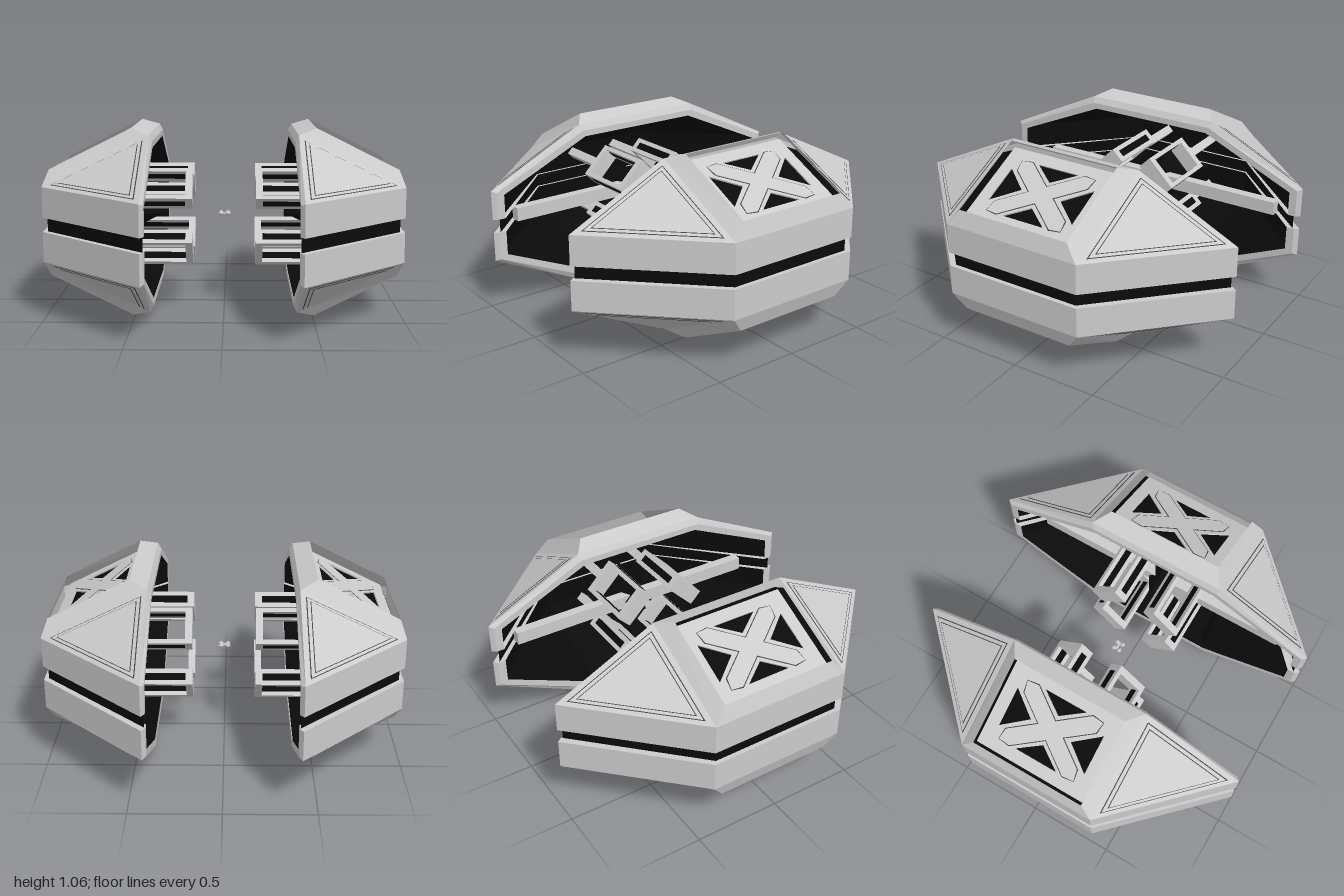
import * as THREE from 'three';

const GREY = new THREE.MeshStandardMaterial({ color: 0xcccccc, flatShading: true, side: THREE.DoubleSide });
const BLACK = new THREE.MeshStandardMaterial({ color: 0x0a0a0a, flatShading: true, side: THREE.DoubleSide });
const LINE = new THREE.MeshStandardMaterial({ color: 0x444444, flatShading: true, side: THREE.DoubleSide });
const MID = 0.535;

const flip = (p) => [p[0], p[1], -p[2]];

// Flat-faced surface from convex polygons
function faces(name, polys, material) {
  const pos = [];
  for (const p of polys)
    for (let i = 1; i < p.length - 1; i++) pos.push(...p[0], ...p[i], ...p[i + 1]);
  const g = new THREE.BufferGeometry();
  g.setAttribute('position', new THREE.Float32BufferAttribute(pos, 3));
  g.computeVertexNormals();
  const m = new THREE.Mesh(g, material);
  m.name = name;
  return m;
}

function box(name, size, at, material = GREY) {
  const m = new THREE.Mesh(new THREE.BoxGeometry(...size), material);
  m.position.set(...at);
  m.name = name;
  return m;
}

function poly(points) {
  return points.map((p) => new THREE.Vector2(...p));
}

function plate(name, outline, holes, depth, material = GREY) {
  const s = new THREE.Shape(poly(outline));
  for (const h of holes) s.holes.push(new THREE.Path(poly(h)));
  const m = new THREE.Mesh(new THREE.ExtrudeGeometry(s, { depth, bevelEnabled: false }), material);
  m.name = name;
  return m;
}

const rect = (w, h) => [[-w, -h], [w, -h], [w, h], [-w, h]];

// Upper half of one side pod: y is measured from the middle plane
function podHalf() {
  const g = new THREE.Group();
  g.name = 'podHalf';
  const A = [0.41, 0.495, 0.41], D = [0.51, 0.53, 0.34], E = [0.97, 0.3, 0.34];
  const B = [1, 0.21, 0.41], C = [0.41, 0.21, 1], Bb = [1, 0.04, 0.41], Cb = [0.41, 0.04, 1];
  const Ai = [0.39, 0.46, 0.4], Ci = [0.39, 0.2, 0.975], Cbi = [0.39, 0.04, 0.975];

  // Armour, inner lip and groove edge; side faces are repeated for -z
  const sides = [
    [A, B, C], [A, D, E, B], [C, B, Bb, Cb], [C, Cb, Cbi, Ci], [A, C, Ci, Ai],
    [Ai, Ci, [0.39, 0.18, 0.93], [0.39, 0.425, 0.38]],
    [Ci, Cbi, [0.39, 0.04, 0.93], [0.39, 0.18, 0.93]],
    [Bb, [0.96, 0.04, 0.39], [0.39, 0.04, 0.93], Cbi, Cb],
  ];
  const across = [[D, A], [E, B], [B, Bb], [A, Ai], [Ai, [0.39, 0.425, 0.38]], [Bb, [0.96, 0.04, 0.39]]]
    .map(([p, q]) => [p, q, flip(q), flip(p)]);
  g.add(faces('armour', [...sides, ...sides.map((f) => f.map(flip).reverse()), ...across], GREY));

  // Dark lining that also fills the middle groove
  const a = [0.395, 0.43, 0.39], d = [0.47, 0.455, 0.34], e = [0.93, 0.23, 0.34];
  const b = [0.975, 0.19, 0.39], c = [0.395, 0.19, 0.965], b0 = [0.975, 0, 0.39], c0 = [0.395, 0, 0.965];
  const lining = [[a, b, c], [a, d, e, b], [c, b, b0, c0]];
  const liningAcross = [[a, d], [d, e], [e, b], [b, b0]].map(([p, q]) => [p, q, flip(q), flip(p)]);
  g.add(faces('lining', [...lining, ...lining.map((f) => f.map(flip).reverse()), ...liningAcross], BLACK));

  // Outlined triangular plates on the corner faces
  const centre = [0, 1, 2].map((i) => (A[i] + B[i] + C[i]) / 3);
  const n = new THREE.Vector3(0.285, 0.59, 0.285).normalize().toArray();
  const inset = (k, lift) => [A, B, C].map((p) => p.map((v, i) => centre[i] + (v - centre[i]) * k + n[i] * lift));
  for (const [k, lift, mat] of [[0.86, 0.002, LINE], [0.835, 0.004, GREY], [0.75, 0.006, LINE], [0.73, 0.008, GREY]]) {
    const t = inset(k, lift);
    g.add(faces('cornerPlate', [t, t.map(flip).reverse()], mat));
  }

  // Recessed panel with four triangular openings and a raised cross
  const panel = new THREE.Group();
  panel.name = 'crossPanel';
  const holes = [];
  for (const s of [-1, 1]) {
    holes.push([[-0.118 , s * 0.27], [0.118, s * 0.27], [0, s * 0.125]]);
    holes.push([[s * 0.185, -0.13], [s * 0.185, 0.13], [s * 0.09, 0]]);
  }
  panel.add(plate('panel', rect(0.257, 0.34), holes, 0.008));
  for (const s of [-1, 1]) {
    for (const [len, w, z, mat] of [[0.3, 0.051, 0.009, LINE], [0.296, 0.046, 0.011, GREY]]) {
      const arm = plate('crossBar', [[-len, 0], [-len + 0.05, -w], [len - 0.05, -w], [len, 0], [len - 0.05, w], [-len + 0.05, w]], [], 0.003, mat);
      arm.rotation.z = s * 0.92;
      arm.position.z = z - 0.003;
      panel.add(arm);
    }
  }
  const u = new THREE.Vector3(0.46, -0.23, 0).normalize();
  const up = new THREE.Vector3(-u.y, u.x, 0);
  panel.quaternion.setFromRotationMatrix(new THREE.Matrix4().makeBasis(u, new THREE.Vector3(0, 0, -1), up));
  panel.position.set(0.74, 0.415, 0).addScaledVector(up, -0.06);
  g.add(panel);
  return g;
}

// One slotted box frame of the coupling, facing +z before it is turned
function couplingFrame() {
  const g = new THREE.Group();
  g.name = 'couplingFrame';
  const t = 0.095, w = 0.11, r = 0.2425, rail = 0.025;
  const frame = plate('frame', rect(0.195, w), [rect(0.155, w - rail)], t);
  frame.position.set(0.375, 0, r - t / 2);
  g.add(frame);
  for (const s of [-1, 1])
    g.add(box('slot', [0.31, rail + 0.003, 0.042], [0.375, s * (w - rail / 2), r], BLACK));
  g.add(box('frameStrut', [0.36, 0.05, 0.05], [0.73, 0, r - 0.02]));
  return g;
}

function pod() {
  const g = new THREE.Group();
  g.name = 'pod';
  const lower = podHalf();
  lower.scale.y = -1;
  g.add(podHalf(), lower);

  // Four frames set as a diamond around the x axis
  for (let i = 0; i < 4; i++) {
    const f = couplingFrame();
    f.rotation.x = Math.PI / 4 + i * Math.PI / 2;
    g.add(f);
  }

  // Pointed hub and long cross beam
  const hub = new THREE.Mesh(new THREE.ConeGeometry(0.17, 0.32, 4), BLACK);
  hub.name = 'hub';
  hub.rotation.z = Math.PI / 2;
  hub.position.x = 0.52;
  g.add(hub);
  g.add(box('crossBeam', [0.06, 0.08, 1.6], [0.52, 0, 0]));
  return g;
}

export function createModel() {
  const model = new THREE.Group();
  model.name = 'splitPodModel';
  const left = pod(), right = pod();
  left.name = 'leftPod';
  right.name = 'rightPod';
  right.scale.x = -1;
  left.position.y = right.position.y = MID;
  model.add(left, right);

  // Tiny core floating in the middle
  const core = new THREE.Group();
  core.name = 'core';
  for (const x of [-1, 1])
    for (const z of [-1, 1]) {
      const bead = new THREE.Mesh(new THREE.OctahedronGeometry(0.017), GREY);
      bead.name = 'coreBead';
      bead.position.set(x * 0.02, 0, z * 0.018);
      core.add(bead);
    }
  core.add(box('coreBar', [0.05, 0.01, 0.012], [0, 0, 0]));
  core.position.y = MID;
  model.add(core);
  return model;
}
